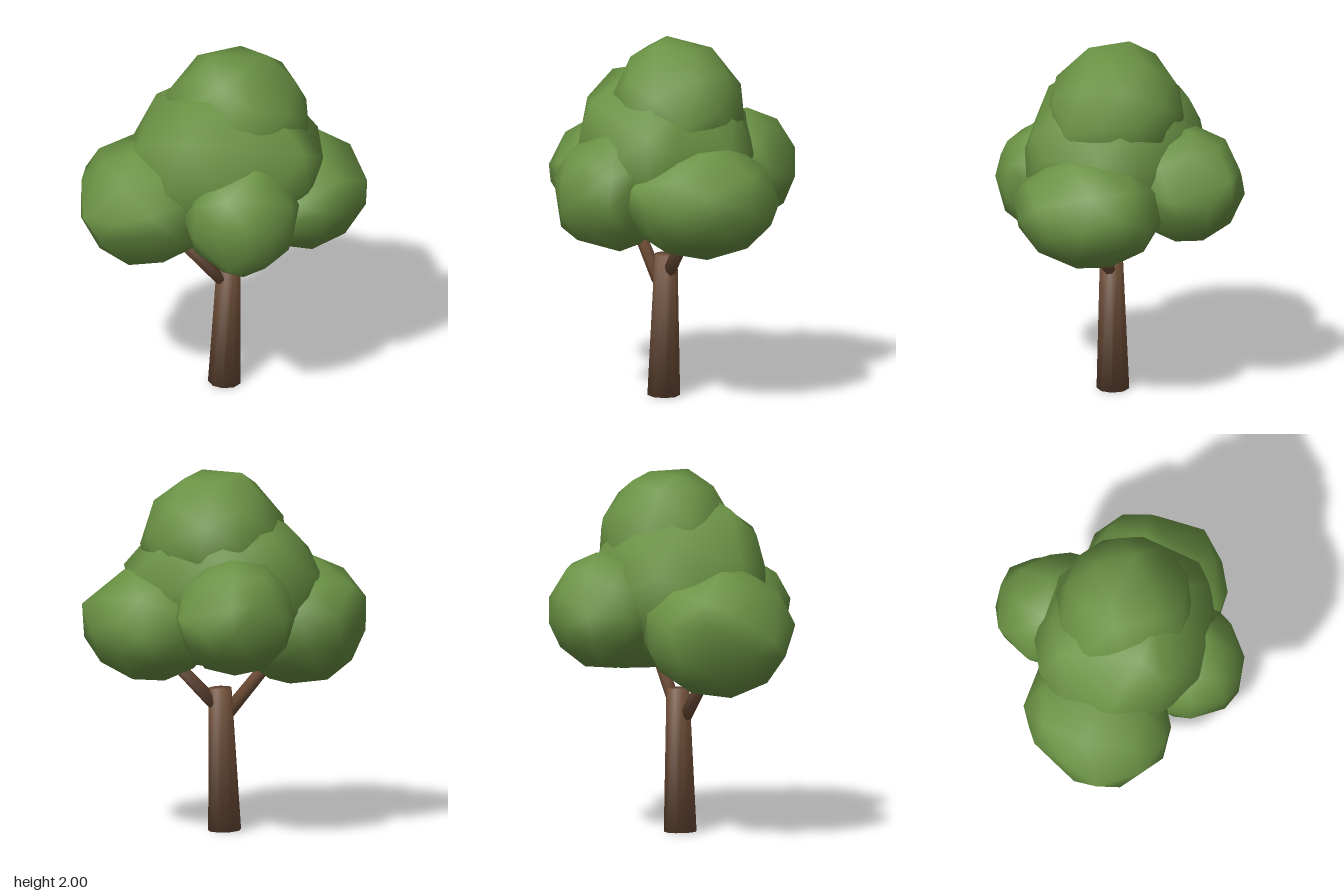
import * as THREE from 'three';
import { mergeVertices } from 'three/addons/utils/BufferGeometryUtils.js';

const bark = new THREE.MeshStandardMaterial({ color: 0x6f4e38 });
bark.name = 'bark brown';
const leaf = new THREE.MeshStandardMaterial({ color: 0x6a9244 });
leaf.name = 'leaf green';

// Smooth low-poly ball, pulled towards a few surface points to make it lumpy
function clump({ name, center, radii, points }, turn) {
  let geo = new THREE.IcosahedronGeometry(1, 1);
  geo.deleteAttribute('normal');
  geo.deleteAttribute('uv');
  geo = mergeVertices(geo, 1e-4);
  geo.rotateX(0.4 + turn);
  geo.rotateZ(0.7 * turn);

  const mid = new THREE.Vector3(...center);
  const size = new THREE.Vector3(...radii);
  const pulls = points.map((p) => {
    const offset = new THREE.Vector3(...p).sub(mid);
    const dir = offset.clone().divide(size);
    const reach = dir.length();
    return { offset, dir: dir.normalize(), reach };
  });

  // Soft pull: nearby vertices follow the reach of each point
  const pos = geo.attributes.position;
  const verts = [];
  for (let i = 0; i < pos.count; i++) {
    const dir = new THREE.Vector3().fromBufferAttribute(pos, i);
    let weight = 0.3;
    let reach = 0.3;
    for (const p of pulls) {
      const w = Math.exp(-((dir.angleTo(p.dir) / 0.35) ** 2));
      weight += w;
      reach += w * p.reach;
    }
    verts.push({ dir, at: dir.clone().multiplyScalar(reach / weight).multiply(size), free: true });
  }

  // Firm pull: the closest free vertex lands on the point
  for (const p of pulls) {
    const near = verts
      .filter((v) => v.free && v.dir.angleTo(p.dir) < 0.4)
      .sort((a, b) => a.dir.angleTo(p.dir) - b.dir.angleTo(p.dir))[0];
    if (near) {
      near.at.copy(p.offset);
      near.free = false;
    }
  }
  verts.forEach((v, i) => pos.setXYZ(i, v.at.x, v.at.y, v.at.z));
  geo.computeVertexNormals();

  const mesh = new THREE.Mesh(geo, leaf);
  mesh.name = name;
  mesh.position.copy(mid);
  return mesh;
}

// Tapered limb from a to b, with shading rounded over its ends
function limb(name, a, b, r0, r1, sides) {
  const from = new THREE.Vector3(...a);
  const to = new THREE.Vector3(...b);
  const dir = to.clone().sub(from);
  const geo = new THREE.CylinderGeometry(r1, r0, dir.length(), sides);
  const { position, normal } = geo.attributes;
  for (let i = 0; i < position.count; i++) {
    const y = position.getY(i);
    const r = y > 0 ? r1 : r0;
    normal.setXYZ(i, (0.8 * position.getX(i)) / r, 0.55 * Math.sign(y), (0.8 * position.getZ(i)) / r);
  }
  geo.normalizeNormals();
  const mesh = new THREE.Mesh(geo, bark);
  mesh.name = name;
  mesh.position.copy(from).add(to).multiplyScalar(0.5);
  mesh.quaternion.setFromUnitVectors(new THREE.Vector3(0, 1, 0), dir.normalize());
  return mesh;
}

// Leaf clumps: one big core, a crown and four around the sides
const clumps = [
  {
    name: 'coreLeaves', center: [0, 1.38, 0.05], radii: [0.57, 0.49, 0.49],
    points: [[-0.4, 1.68, -0.1], [-0.2, 1.81, 0.3], [0.02, 1.68, 0.48], [0.33, 1.74, 0.05], [0.55, 1.47, 0.15]],
  },
  {
    name: 'crownLeaves', center: [0.06, 1.62, 0], radii: [0.4, 0.39, 0.38],
    points: [[-0.1, 2, 0.02], [0.12, 2, 0.14], [0.46, 1.6, 0.05], [-0.33, 1.76, 0.03], [0.08, 1.74, 0.37], [0.1, 1.75, -0.35]],
  },
  {
    name: 'rightLeaves', center: [-0.42, 1.17, 0.17], radii: [0.37, 0.36, 0.43],
    points: [[-0.78, 1.26, 0], [-0.75, 1.15, 0.4], [-0.57, 0.82, 0.2], [-0.25, 0.83, 0.17], [-0.4, 1.15, 0.6], [-0.47, 1.52, 0.17]],
  },
  {
    name: 'leftLeaves', center: [0.4, 1.17, -0.05], radii: [0.37, 0.32, 0.43],
    points: [[0.78, 1.27, 0.02], [0.55, 1.47, -0.05], [0.44, 1.15, -0.48], [0.5, 0.86, -0.05], [0.42, 1.27, 0.37]],
  },
  {
    name: 'frontLeaves', center: [0.12, 1.2, 0.38], radii: [0.32, 0.33, 0.32],
    points: [[0.03, 1.27, 0.7], [0.08, 1, 0.67], [0.44, 1.28, 0.37], [0.25, 0.88, 0.38], [0.2, 1.53, 0.44]],
  },
  {
    name: 'backLeaves', center: [-0.07, 1.26, -0.38], radii: [0.33, 0.33, 0.33],
    points: [[-0.35, 1.26, -0.56], [-0.05, 1.34, -0.7], [0.24, 1.26, -0.5], [-0.05, 1.58, -0.43], [-0.4, 1.26, -0.34]],
  },
];

export function createModel() {
  const tree = new THREE.Group();
  tree.name = 'tree';

  // Leaning trunk with two forked branches
  tree.add(
    limb('trunk', [-0.005, 0.003, 0.063], [0.02, 0.797, 0.056], 0.092, 0.064, 9),
    limb('rightBranch', [-0.02, 0.65, 0.09], [-0.32, 1.01, 0.18], 0.038, 0.032, 8),
    limb('leftBranch', [0.05, 0.71, 0.045], [0.32, 1.0, 0.0], 0.038, 0.032, 8)
  );
  clumps.forEach((c, i) => tree.add(clump(c, i * 0.9)));
  return tree;
}
